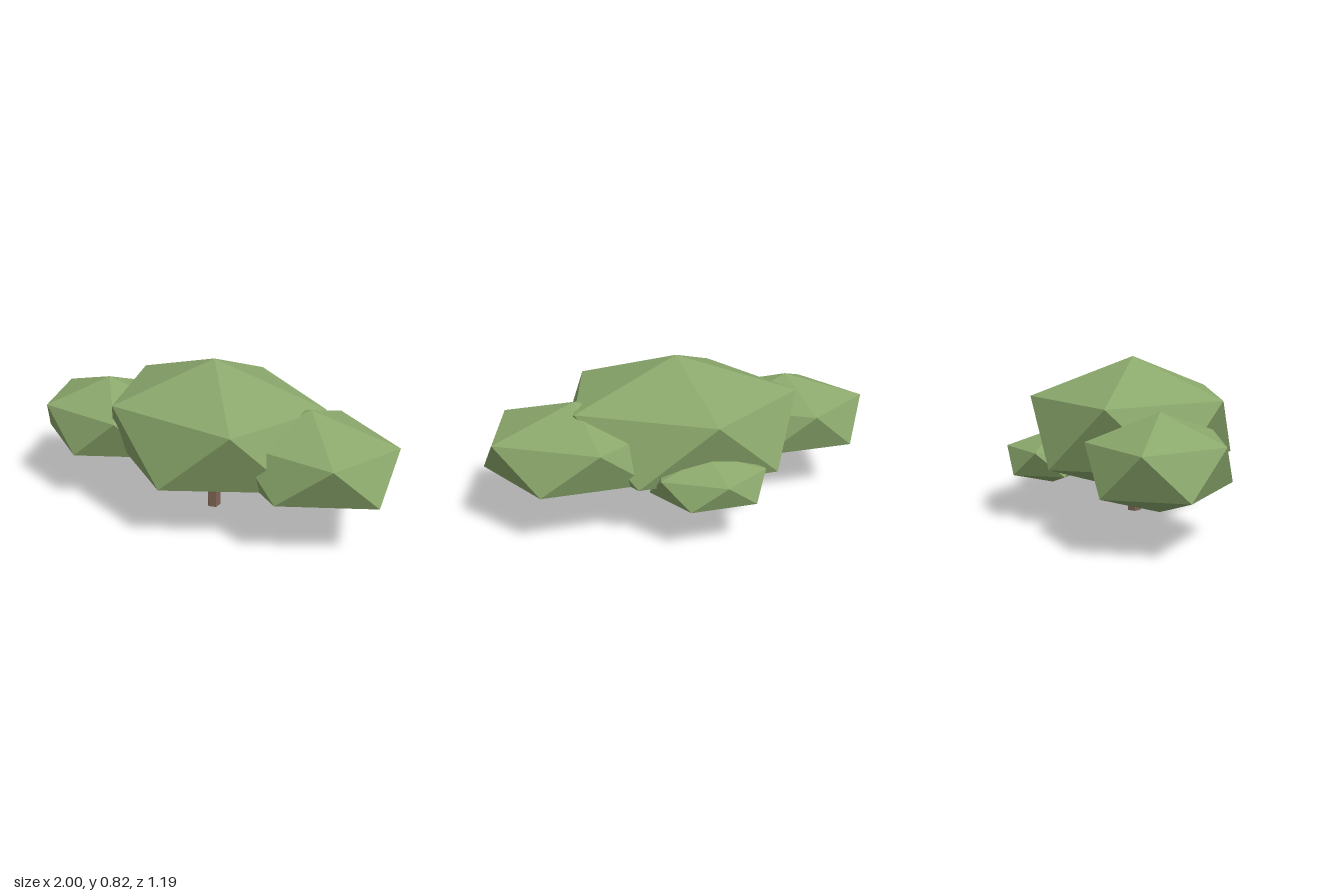
import * as THREE from 'three';

export function createModel() {
  const model = new THREE.Group();
  const leafMat = new THREE.MeshStandardMaterial({ color: 0x8ba86c, flatShading: true });
  const barkMat = new THREE.MeshStandardMaterial({ color: 0x7d6455, flatShading: true });

  // Icosahedron turned so that one corner points straight up
  const clumpGeo = new THREE.IcosahedronGeometry(1, 0);
  clumpGeo.rotateZ(Math.atan(2 / (1 + Math.sqrt(5))));
  const RING = 2 / Math.sqrt(5); // radius of the five-corner rings on a unit icosahedron

  // Foliage clumps: centre, then ring radius in x, half height, ring radius in z
  const clumps = [
    ['crown', [0.02, 0.46, 0.016], [0.62, 0.356, 0.52]],
    ['rightFoliage', [-0.577, 0.382, 0.27], [0.423, 0.233, 0.337]],
    ['leftFoliage', [0.53, 0.405, -0.18], [0.47, 0.24, 0.379]],
    ['backFoliage', [-0.125, 0.303, -0.38], [0.285, 0.139, 0.226]],
  ];
  for (const [name, centre, [rx, h, rz]] of clumps) {
    const clump = new THREE.Mesh(clumpGeo, leafMat);
    clump.name = name;
    clump.position.set(...centre);
    clump.scale.set(rx / RING, h, rz / RING);
    model.add(clump);
  }

  // Five-sided trunk reaching up into the crown
  const trunk = new THREE.Mesh(new THREE.CylinderGeometry(0.036, 0.036, 0.4, 5), barkMat);
  trunk.name = 'trunk';
  trunk.position.set(0.024, 0.2, 0.024);
  model.add(trunk);

  return model;
}
